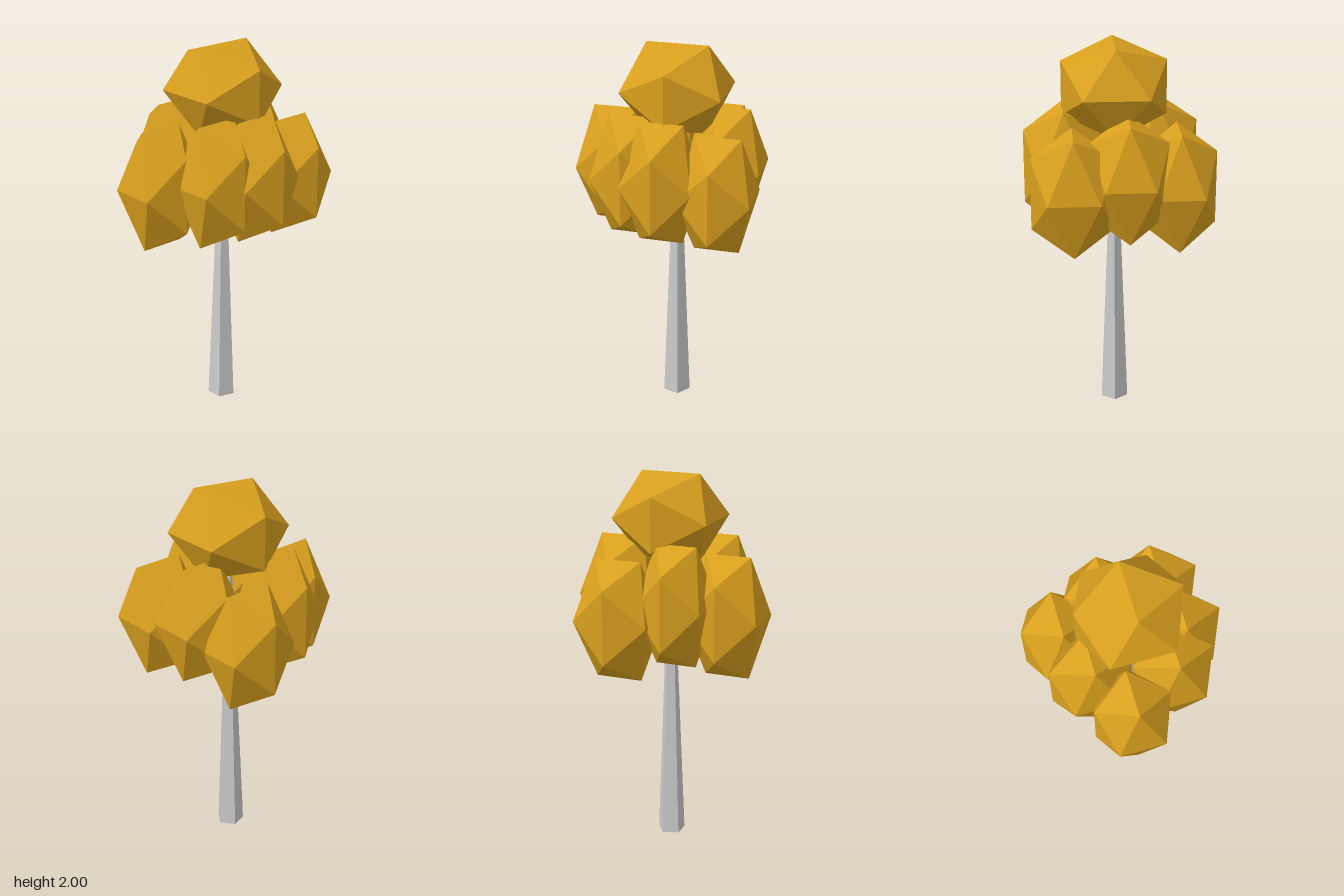
import * as THREE from 'three';

export function createModel() {
  const tree = new THREE.Group();
  tree.name = 'tree';

  // Tapered five-sided trunk, reaching up into the foliage
  const bark = new THREE.MeshStandardMaterial({ color: 0xcccccc, flatShading: true });
  const trunkHeight = 1.6;
  const trunk = new THREE.Mesh(
    new THREE.CylinderGeometry(0.013, 0.075, trunkHeight, 5, 1, false, Math.PI / 5), bark);
  trunk.name = 'trunk';
  trunk.position.set(0.02, trunkHeight / 2, -0.045);
  tree.add(trunk);

  // Leaf clumps: icosahedra with the top edge running along z
  const leaves = new THREE.MeshStandardMaterial({ color: 0xd9a01e, flatShading: true });
  const clump = new THREE.IcosahedronGeometry(1, 0);
  clump.rotateY(Math.PI / 2);

  const foliage = new THREE.Group();
  foliage.name = 'foliage';
  const addClump = (name, [x, y, z], [rx, ry, rz]) => {
    const mesh = new THREE.Mesh(clump, leaves);
    mesh.name = name;
    mesh.position.set(x, y, z);
    mesh.scale.set(rx, ry, rz);
    foliage.add(mesh);
  };

  // Wide crown clump and a ring of tall clumps beneath it
  addClump('crownClump', [0.02, 1.77, -0.045], [0.316, 0.27, 0.306]);
  addClump('frontClump', [-0.06, 1.29, 0.305], [0.23, 0.376, 0.228]);
  addClump('frontLeftClump', [0.19, 1.34, 0.15], [0.242, 0.378, 0.22]);
  addClump('leftClump', [0.28, 1.35, -0.03], [0.242, 0.374, 0.218]);
  addClump('backLeftClump', [0.24, 1.3, -0.31], [0.25, 0.36, 0.223]);
  addClump('backClump', [-0.04, 1.36, -0.29], [0.24, 0.36, 0.232]);
  addClump('backRightClump', [-0.3, 1.28, -0.2], [0.228, 0.367, 0.237]);
  addClump('frontRightClump', [-0.21, 1.36, 0.08], [0.247, 0.368, 0.208]);
  tree.add(foliage);

  return tree;
}
